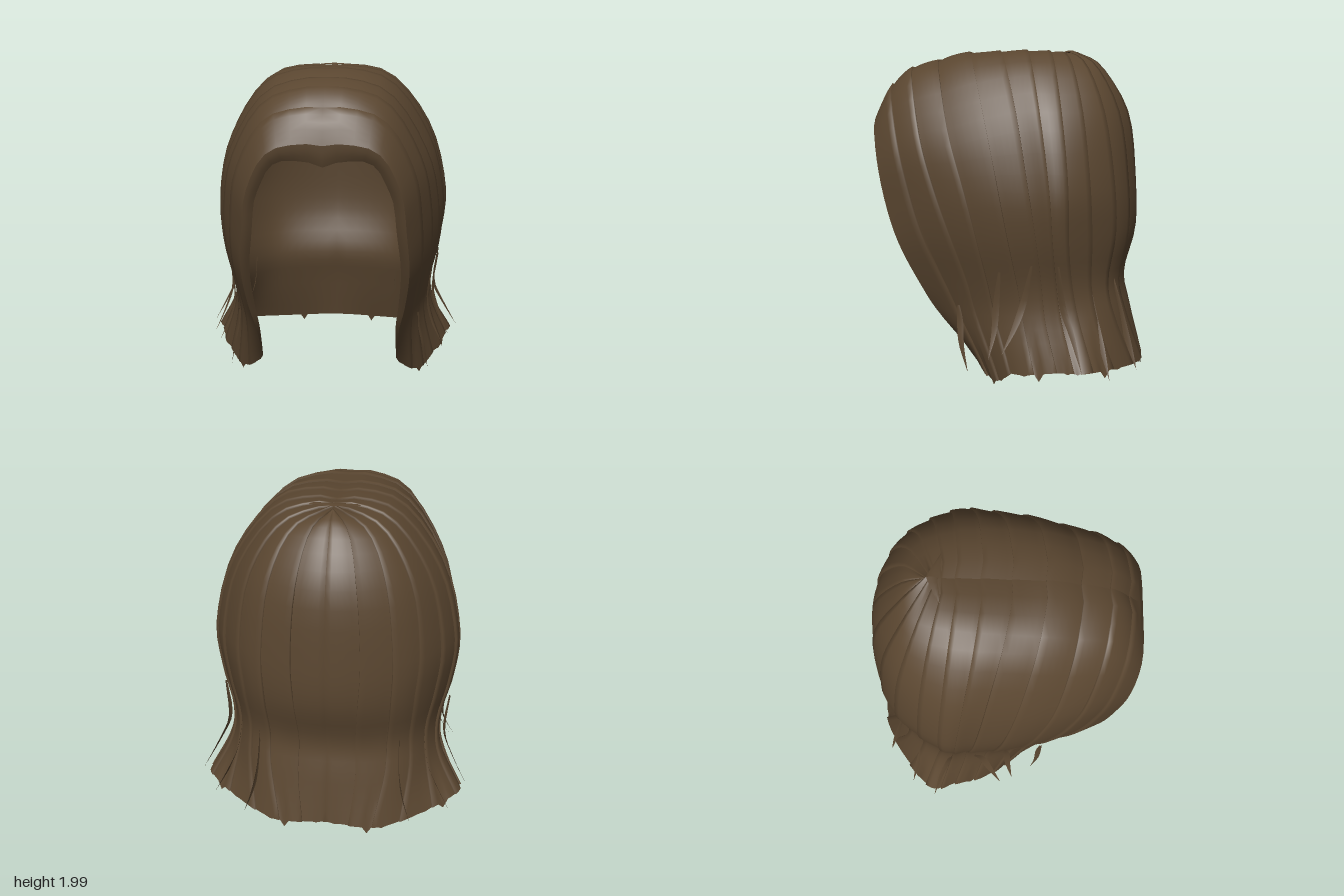
import * as THREE from 'three';

// Guide strands of the left half, front edge to centre back, each from parting to tip
const fringe = [[0, 1.6, .835], [.29, 1.55, .83], [.43, 1.32, .79], [.47, 1.05, .73], [.49, .82, .65], [.47, .58, .53], [.44, .4, .425], [.43, .14, .21]];
const temple = [[0, 1.94, .47], [.35, 1.84, .42], [.58, 1.5, .34], [.66, 1.18, .25], [.66, .88, .17], [.61, .6, .1], [.6, .4, .06], [.67, .1, -.03]];
const sideFront = [[0, 1.985, .09], [.36, 1.92, .03], [.61, 1.6, -.06], [.715, 1.2, -.13], [.705, .9, -.17], [.645, .62, -.2], [.66, .4, -.23], [.77, .14, -.3]];
const sideBack = [[0, 1.985, -.22], [.34, 1.92, -.26], [.605, 1.6, -.31], [.715, 1.2, -.35], [.695, .9, -.36], [.635, .62, -.38], [.655, .4, -.42], [.78, .15, -.5]];
const backCorner = [[0, 1.975, -.36], [.25, 1.88, -.49], [.4, 1.6, -.61], [.455, 1.2, -.665], [.44, .9, -.675], [.42, .62, -.63], [.42, .4, -.675], [.36, .09, -.79]];
const backCentre = [[0, 1.965, -.41], [0, 1.88, -.56], [0, 1.6, -.73], [0, 1.2, -.78], [0, .9, -.78], [0, .62, -.71], [0, .4, -.75], [0, .1, -.81]];

const vec = (p) => new THREE.Vector3(...p);
const guides = [fringe, temple, sideFront, sideBack, backCorner, backCentre];
// The corner is repeated on the other side so the back closes smoothly
const mirrored = backCorner.map(([x, y, z]) => [-x, y, z]);
const guideCurves = [...guides, mirrored].map((g) => new THREE.CatmullRomCurve3(g.map(vec), false, 'catmullrom', .5));

// Hair surface: u = 0 (front edge) to 5 (centre back), v = 0 (parting) to 1 (tips)
function surface(u, v) {
  const row = guideCurves.map((c) => c.getPoint(v));
  const p = new THREE.CatmullRomCurve3(row, false, 'catmullrom', .5).getPoint(u / 6);
  if (u < 1) {
    // Fuller forehead, and a point at the lower front
    const arch = Math.sin(Math.PI * u);
    p.y += arch * (.045 * (1 - v) - .085 * v ** 10);
    p.z += arch * .065 * (1 - v);
  }
  return p;
}

function offsetSurface(u, v, d) {
  const e = .004;
  const p = surface(u, v);
  const du = surface(Math.min(u + e, 5.2), v).sub(surface(Math.max(u - e, 0), v));
  const dv = surface(u, Math.min(v + e, 1)).sub(surface(u, Math.max(v - e, 0)));
  const n = du.cross(dv).normalize();
  if (n.dot(p.clone().sub(new THREE.Vector3(0, .9, 0))) < 0) n.negate();
  p.addScaledVector(n, d);
  // Shallow groove along the parting
  const groove = u < 4 ? Math.max(0, 1 - v / .04) : 0;
  p.y -= .02 * groove;
  if (u > .3 && u < 3.5) p.z -= .025 * groove;
  if (v === 0 || u === 5) p.x = 0;
  return p;
}

// Grid of points fn(column, row) joined into a sheet, reversed for the mirrored half
function sheet(cols, rows, fn, side) {
  const pos = [], index = [];
  for (let i = 0; i <= cols; i++) {
    for (let j = 0; j <= rows; j++) {
      const p = fn(i, j);
      pos.push(p.x * side, Math.max(0, p.y), p.z);
      if (i === cols || j === rows) continue;
      const a = i * (rows + 1) + j, b = a + rows + 1;
      if (side > 0) index.push(a, a + 1, b, b, a + 1, b + 1);
      else index.push(a, b, a + 1, b, b + 1, a + 1);
    }
  }
  const g = new THREE.BufferGeometry();
  g.setAttribute('position', new THREE.Float32BufferAttribute(pos, 3));
  g.setIndex(index);
  g.computeVertexNormals();
  return g;
}

export function createModel() {
  const group = new THREE.Group();
  const brown = new THREE.MeshStandardMaterial({ color: 0x5a4630, side: THREE.DoubleSide });
  brown.name = 'brown hair';
  const add = (name, geometry) => {
    const m = new THREE.Mesh(geometry, brown);
    m.name = name;
    group.add(m);
  };
  const bounds = [0, .4, .7, 1, 1.5, 2, 2.5, 3, 3.4, 3.8, 4.2, 4.6, 5];
  const rows = 25;

  for (const side of [1, -1]) {
    const label = side > 0 ? 'left' : 'right';

    // Smooth shell under the locks
    add(label + 'InnerShell', sheet(30, rows, (i, j) => offsetSurface(i / 6, j / rows, -.008), side));

    // Overlapping locks with a small step at the rear edge; every third has a pointed tip
    for (let k = 0; k < bounds.length - 1; k++) {
      const u0 = bounds[k], u1 = bounds[k + 1];
      const tip = k % 3 === 1 ? .045 : .008, peak = 1 + (k * 2) % 4;
      const cols = 6;
      add(label + 'Lock' + (k + 1), sheet(cols, rows, (i, j) => {
        const lip = i === cols, v = j / rows;
        const t = Math.min(1, i / (cols - 1));
        const wave = k < 11 ? .035 * Math.sin(v * 9 + k * 2) * v * Math.sin(Math.PI * v) : 0;
        const u = Math.min(5, u0 + (u1 - u0) * t + wave * t);
        const lift = lip ? -.006 : .012 * t;
        const p = offsetSurface(u, v, u1 === 5 ? Math.min(lift, .004) : lift);
        if (i === peak) p.y -= tip * Math.max(0, (v - .88) / .12);
        return p;
      }, side));
    }

    // Front edge rolled under
    add(label + 'FringeRoll', sheet(3, rows, (i, j) => {
      const t = i / 3, v = j / rows;
      const p = offsetSurface(0, v, 0);
      const fade = 1 - v ** 3;
      p.x -= .06 * t * fade * Math.min(1, v * 4);
      p.y -= .12 * t * Math.max(0, 1 - v * 3.2);
      p.z -= .025 * t * t * fade;
      return p;
    }, side));

    // Loose tapering wisps
    const wisps = [
      [[.71, .75, -.3], [.69, .5, -.33], [.75, .36, -.38], [.86, .16, -.44]],
      [[.7, .75, -.15], [.67, .52, -.1], [.71, .38, -.05], [.77, .24, .02]],
      [[.65, .7, .04], [.63, .5, .06], [.66, .35, .07], [.73, .2, .1]],
      [[.56, .62, -.48], [.59, .4, -.52], [.66, .25, -.56], [.75, .09, -.6]],
      [[.42, .62, -.63], [.43, .4, -.68], [.47, .22, -.73], [.52, .09, -.77]],
      [[.56, .48, .29], [.57, .38, .28], [.6, .25, .27], [.63, .09, .23]],
    ];
    wisps.forEach((points, k) => {
      const curve = new THREE.CatmullRomCurve3(points.map(vec));
      add(label + 'Wisp' + (k + 1), sheet(2, 10, (i, j) => {
        const t = j / 10, p = curve.getPoint(t);
        const w = .02 * Math.sin(Math.PI * (.12 + .88 * t)) * (i - 1);
        p.z += w;
        p.x += (i === 1 ? .006 * (1 - t) : 0) - w * .4;
        return p;
      }, side));
    });

    // Small tuft where the parting meets the crown
    add(label + 'CrownTuft', sheet(2, 6, (i, j) => {
      const t = j / 6;
      const z = -.33 - .05 * t * (1 - t) + (i - 1) * .03 * (1 - t) - .04 * (t - 1) * (t - 1) + .03 * t;
      return new THREE.Vector3(.2 * t, 1.988 - .03 * t * t - (i === 1 ? 0 : .006), z);
    }, side));
  }
  return group;
}
